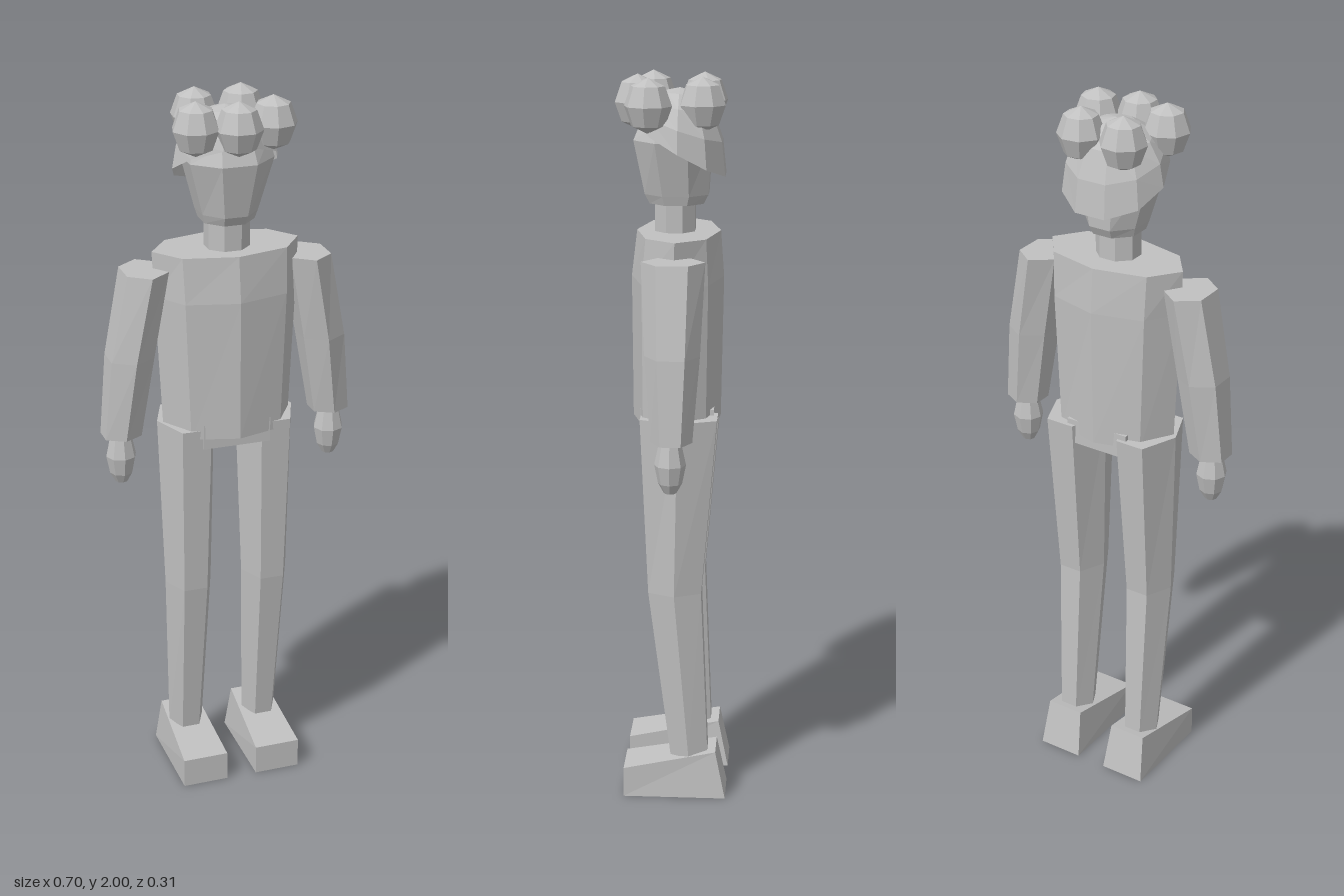
import * as THREE from 'three';

const grey = new THREE.MeshStandardMaterial({ color: 0xc0c0c0, flatShading: true });
grey.name = 'grey';

// Closed solid through elliptical rings [x, y, z, rx, rz], listed from bottom to top
function loft(rings, sides, turn = 0) {
  const pos = [], idx = [];
  for (const [x, y, z, rx, rz] of rings) {
    for (let i = 0; i < sides; i++) {
      const a = ((i + turn) / sides) * Math.PI * 2;
      pos.push(x + Math.cos(a) * rx, y, z + Math.sin(a) * rz);
    }
  }
  const top = (rings.length - 1) * sides;
  for (let j = 0; j < top; j += sides) {
    for (let i = 0; i < sides; i++) {
      const a = j + i, b = j + ((i + 1) % sides);
      idx.push(b, a, a + sides, b, a + sides, b + sides);
    }
  }
  for (let i = 1; i < sides - 1; i++) {
    idx.push(0, i, i + 1, top, top + i + 1, top + i);
  }
  const g = new THREE.BufferGeometry();
  g.setAttribute('position', new THREE.Float32BufferAttribute(pos, 3));
  g.setIndex(idx);
  g.computeVertexNormals();
  return g;
}

// Wedge shoe with a sloping top and a slightly narrower heel
function shoeGeometry() {
  const g = new THREE.BoxGeometry(2, 1, 2);
  const p = g.attributes.position;
  for (let i = 0; i < p.count; i++) {
    const up = p.getY(i) > 0, front = p.getZ(i) > 0;
    const half = up && !front ? 0.054 : 0.065;
    p.setXYZ(i, Math.sign(p.getX(i)) * half,
      up ? (front ? 0.085 : 0.135) : 0,
      front ? 0.13 : (up ? -0.127 : -0.155));
  }
  g.computeVertexNormals();
  return g;
}

// Dome of hair whose rim slopes down towards the back
function hairGeometry() {
  const g = new THREE.SphereGeometry(1, 10, 4, 0, Math.PI * 2, 0, Math.PI / 2);
  const p = g.attributes.position;
  for (let i = 0; i < p.count; i++) {
    const z = p.getZ(i) * 0.128 - 0.018;
    const rim = 1.815 + z * 0.57;
    p.setXYZ(i, p.getX(i) * 0.145, THREE.MathUtils.lerp(rim, 1.965, p.getY(i)), z);
  }
  g.computeVertexNormals();
  return g;
}

export function createModel() {
  const model = new THREE.Group();
  model.name = 'figure';
  const add = (name, geometry, material = grey) => {
    const m = new THREE.Mesh(geometry, material);
    m.name = name;
    model.add(m);
    return m;
  };

  // Body
  add('torso', loft([
    [0, 1.07, -0.01, 0.18, 0.12],
    [0, 1.46, -0.012, 0.2, 0.125],
    [0, 1.585, -0.015, 0.205, 0.113],
  ], 8));
  const pelvis = add('pelvis', new THREE.BoxGeometry(0.19, 0.07, 0.2));
  pelvis.position.set(0, 1.075, -0.015);

  // Head
  add('neck', loft([
    [0, 1.57, -0.005, 0.062, 0.058],
    [0, 1.68, -0.005, 0.062, 0.058],
  ], 8, 0.5));
  add('head', loft([
    [0, 1.66, -0.01, 0.075, 0.078],
    [0, 1.685, -0.01, 0.083, 0.092],
    [0, 1.83, 0, 0.125, 0.112],
    [0, 1.88, 0, 0.11, 0.09],
  ], 8, 0.5));

  // Hair cap with its ring of curls
  const cap = grey.clone();
  cap.side = THREE.DoubleSide;
  add('hair', hairGeometry(), cap);
  const curls = [[0, 0.095], [0.105, 0.06], [-0.105, 0.06], [0.064, -0.08], [-0.064, -0.08]];
  const curlGeometry = new THREE.SphereGeometry(1, 8, 4);
  for (const [x, z] of curls) {
    const curl = add('curl', curlGeometry);
    curl.position.set(x, 1.927, z);
    curl.scale.set(0.064, 0.073, 0.064);
    curl.rotation.y = Math.atan2(x, z) + Math.PI / 8;
  }

  // Limbs, mirrored
  for (const s of [1, -1]) {
    const side = s > 0 ? 'left' : 'right';
    add(side + 'Arm', loft([
      [s * 0.3, 1.075, -0.013, 0.058, 0.055],
      [s * 0.272, 1.3, -0.013, 0.068, 0.073],
      [s * 0.228, 1.54, -0.013, 0.066, 0.084],
    ], 6, 0.5));
    add(side + 'Hand', loft([
      [s * 0.302, 0.938, -0.01, 0.017, 0.017],
      [s * 0.302, 0.965, -0.01, 0.032, 0.032],
      [s * 0.302, 1.015, -0.01, 0.042, 0.042],
      [s * 0.302, 1.08, -0.01, 0.028, 0.028],
    ], 8));
    add(side + 'Leg', loft([
      [s * 0.112, 0.115, -0.052, 0.05, 0.06],
      [s * 0.113, 0.6, -0.012, 0.067, 0.084],
      [s * 0.113, 1.095, -0.022, 0.082, 0.12],
    ], 6));
    add(side + 'Shoe', shoeGeometry()).position.x = s * 0.109;
  }
  return model;
}
